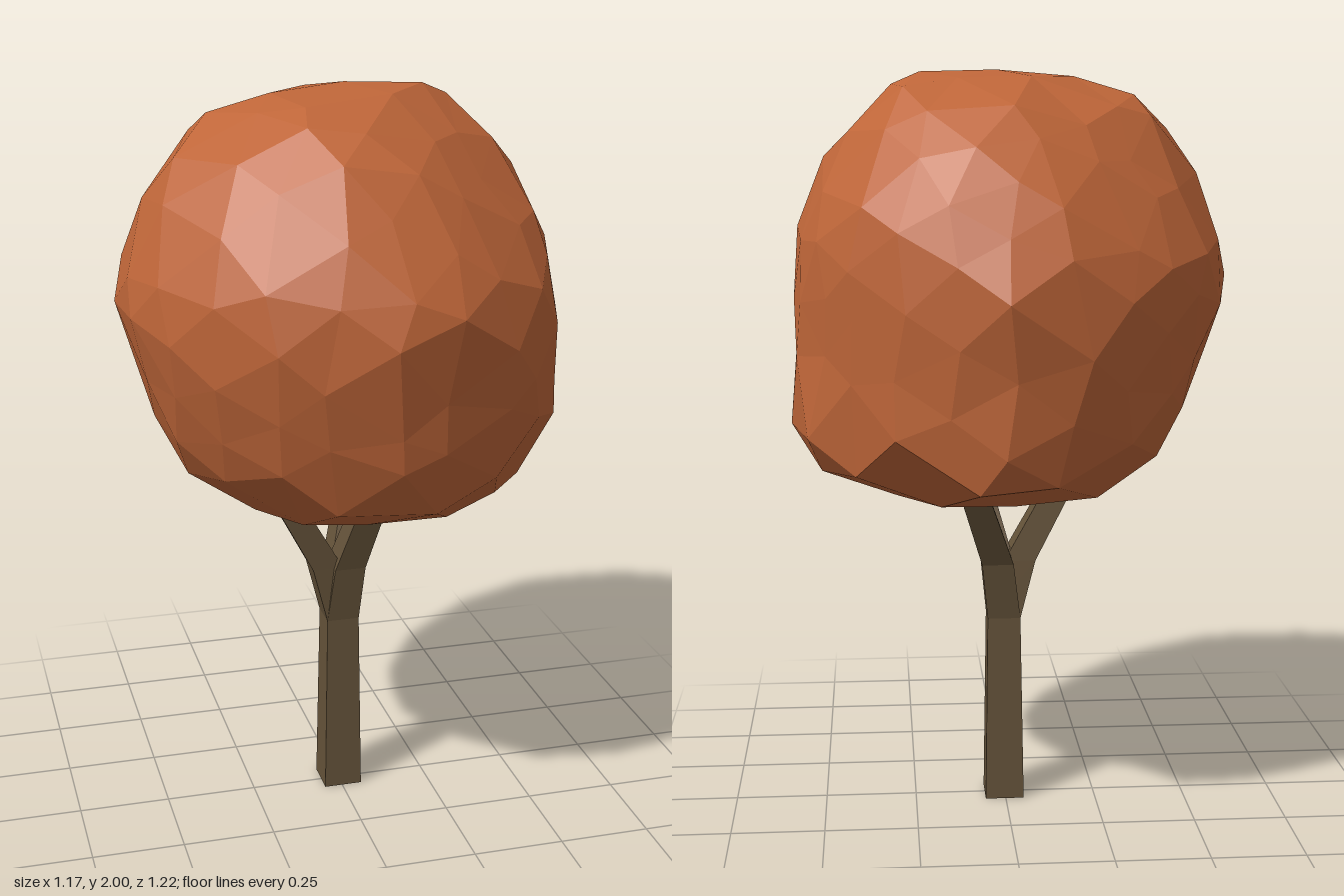
import * as THREE from 'three';
import { mergeVertices } from 'three/addons/utils/BufferGeometryUtils.js';

const BOTTOM = 0.89, TOP = 2;
// crown reach at each height, in eight directions turning from +x through +z:
// [y, +x, +x+z, +z, -x+z, -x, -x-z, -z, +x-z]
const REACH = [
  [BOTTOM, 0.36, 0.28, 0.25, 0.22, 0.20, 0.24, 0.38, 0.38],
  [0.93, 0.49, 0.41, 0.36, 0.34, 0.34, 0.36, 0.47, 0.45],
  [1.00, 0.55, 0.50, 0.47, 0.43, 0.41, 0.45, 0.53, 0.51],
  [1.08, 0.585, 0.54, 0.52, 0.48, 0.46, 0.49, 0.54, 0.52],
  [1.22, 0.575, 0.57, 0.56, 0.54, 0.52, 0.52, 0.55, 0.51],
  [1.40, 0.56, 0.595, 0.60, 0.585, 0.58, 0.55, 0.605, 0.53],
  [1.50, 0.555, 0.59, 0.605, 0.59, 0.59, 0.55, 0.585, 0.535],
  [1.63, 0.545, 0.53, 0.55, 0.56, 0.55, 0.50, 0.53, 0.53],
  [1.77, 0.47, 0.40, 0.46, 0.49, 0.50, 0.39, 0.45, 0.47],
  [1.86, 0.41, 0.31, 0.40, 0.42, 0.45, 0.31, 0.36, 0.40],
  [1.94, 0.35, 0.22, 0.29, 0.31, 0.32, 0.21, 0.28, 0.32],
  [TOP, 0.18, 0.10, 0.20, 0.10, 0.08, 0.06, 0.09, 0.10],
];

function seeded(seed) {
  return () => {
    seed = (seed * 16807) % 2147483647;
    return seed / 2147483647;
  };
}

function faceted(geometry) {
  const flat = geometry.toNonIndexed();
  flat.computeVertexNormals();
  return flat;
}

// true when a point lies within the crown profile
function inCrown(p) {
  const i = REACH.findIndex((row) => row[0] > p.y);
  if (i < 1) return false;
  const [a, b] = [REACH[i - 1], REACH[i]];
  const t = (p.y - a[0]) / (b[0] - a[0]);
  const turn = ((Math.atan2(p.z, p.x) / (Math.PI / 4)) + 8) % 8;
  const k = Math.floor(turn);
  const reach = (dir) => THREE.MathUtils.lerp(a[1 + (dir % 8)], b[1 + (dir % 8)], t);
  return Math.hypot(p.x, p.z) < THREE.MathUtils.lerp(reach(k), reach(k + 1), turn - k);
}

function crownGeometry() {
  const rand = seeded(71);
  const jitter = (s) => (rand() - 0.5) * s;
  let geo = new THREE.IcosahedronGeometry(1, 3);
  geo.deleteAttribute('normal');
  geo.deleteAttribute('uv');
  geo = mergeVertices(geo, 1e-4);
  const pos = geo.attributes.position;
  const centre = new THREE.Vector3(0, 1.43, 0);
  const hollow = new THREE.Vector3(0.18, 1.36, 0.58);
  const dir = new THREE.Vector3();
  const p = new THREE.Vector3();
  for (let i = 0; i < pos.count; i++) {
    dir.fromBufferAttribute(pos, i);
    dir.set(dir.x + jitter(0.13), dir.y + jitter(0.13), dir.z + jitter(0.13)).normalize();
    // find where the ray leaves the crown profile
    let lo = 0, hi = 1;
    for (let k = 0; k < 18; k++) {
      const mid = (lo + hi) / 2;
      p.copy(centre).addScaledVector(dir, mid);
      if (inCrown(p)) lo = mid; else hi = mid;
    }
    // uneven surface with a small hollow at the front
    const dent = 0.035 * Math.max(0, 1 - centre.clone().addScaledVector(dir, lo).distanceTo(hollow) / 0.16);
    p.copy(centre).addScaledVector(dir, lo + 0.007 + jitter(0.016) - dent);
    pos.setXYZ(i, p.x, THREE.MathUtils.clamp(p.y, BOTTOM, TOP), p.z);
  }
  return faceted(geo);
}

// square limb through rings of [x, y, z, half width]
function limbGeometry(rings) {
  const verts = [], index = [];
  for (const [x, y, z, h] of rings) {
    verts.push(x - h, y, z + h, x + h, y, z + h, x + h, y, z - h, x - h, y, z - h);
  }
  for (let r = 0; r < rings.length - 1; r++) {
    for (let s = 0; s < 4; s++) {
      const a = r * 4 + s, b = r * 4 + ((s + 1) % 4);
      index.push(a, b, b + 4, a, b + 4, a + 4);
    }
  }
  const t = (rings.length - 1) * 4;
  index.push(0, 2, 1, 0, 3, 2, t, t + 1, t + 2, t, t + 2, t + 3);
  const geo = new THREE.BufferGeometry();
  geo.setAttribute('position', new THREE.Float32BufferAttribute(verts, 3));
  geo.setIndex(index);
  return faceted(geo);
}

export function createModel() {
  const bark = new THREE.MeshStandardMaterial({ color: 0x65533a });
  bark.name = 'bark';
  const foliage = new THREE.MeshStandardMaterial({ color: 0xbf6639 });
  foliage.name = 'foliage';

  const tree = new THREE.Group();
  tree.name = 'tree';
  const add = (name, geometry, material) => {
    const mesh = new THREE.Mesh(geometry, material);
    mesh.name = name;
    tree.add(mesh);
  };

  const fork = [0.004, 0.52, -0.003, 0.045];
  add('trunk', limbGeometry([[0.003, 0, -0.004, 0.053], fork]), bark);

  // three branches forking out of the trunk
  const tips = [['rightBranch', -0.2, 0.03], ['frontBranch', 0.095, 0.105], ['backBranch', 0.115, -0.19]];
  for (const [name, x, z] of tips) {
    add(name, limbGeometry([
      fork,
      [x * 0.2, 0.68, z * 0.2, 0.043],
      [x, 0.97, z, 0.036],
    ]), bark);
  }

  add('crown', crownGeometry(), foliage);
  return tree;
}
